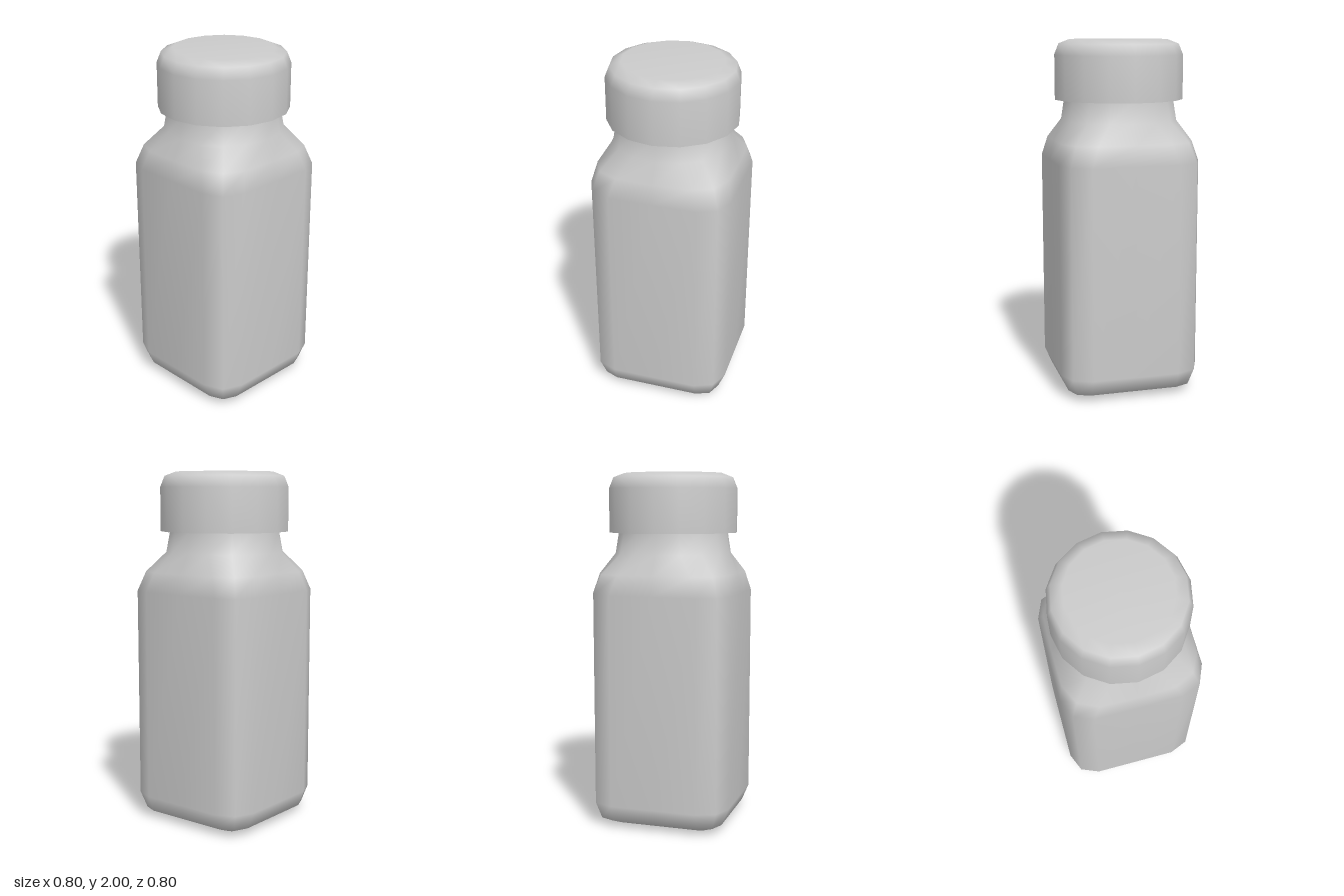
import * as THREE from 'three';

const SIDES = 16;
const material = new THREE.MeshStandardMaterial({ color: 0xcccccc });

// One eighth-turn of the rounded square, mirrored to a full loop and blended toward a circle.
function crossSection(half, corner, roundness) {
  const diagonal = half - 0.293 * corner;
  const quarter = [[half, 0], [half, half - corner], [diagonal, diagonal], [half - corner, half]];
  return Array.from({ length: SIDES }, (_, i) => {
    const [px, pz] = quarter[i % 4];
    const square = new THREE.Vector2(px, pz)
      .rotateAround(new THREE.Vector2(), Math.floor(i / 4) * Math.PI / 2);
    const angle = i / SIDES * Math.PI * 2;
    const circle = new THREE.Vector2(Math.cos(angle), Math.sin(angle)).multiplyScalar(half);
    return square.lerp(circle, roundness);
  });
}

// Skins a stack of cross-sections: [height, half width, corner size, roundness]
function loft(levels) {
  const positions = [], indices = [];
  levels.forEach(([y, half, corner, roundness], j) => {
    crossSection(half, corner, roundness).forEach((p, i) => {
      positions.push(p.x, y, p.y);
      if (j === levels.length - 1) return;
      const a = j * SIDES + i, b = j * SIDES + (i + 1) % SIDES;
      indices.push(a, a + SIDES, b, b, a + SIDES, b + SIDES);
    });
  });
  const geometry = new THREE.BufferGeometry();
  geometry.setAttribute('position', new THREE.Float32BufferAttribute(positions, 3));
  geometry.setIndex(indices);
  geometry.computeVertexNormals();
  return geometry;
}

export function createModel() {
  const group = new THREE.Group();
  const add = (name, geometry) => {
    const mesh = new THREE.Mesh(geometry, material);
    mesh.name = name;
    group.add(mesh);
    return mesh;
  };

  // Square bottle body, closed below, rising through the shoulder to a round neck
  add('bottleBody', loft([
    [0, 0, 0, 0],
    [0, 0.265, 0.03, 0],
    [0.04, 0.36, 0.11, 0],
    [0.135, 0.4, 0.153, 0],
    [1.33, 0.4, 0.153, 0],
    [1.44, 0.378, 0.153, 0.2],
    [1.55, 0.328, 0.14, 0.9],
    [1.67, 0.313, 0.13, 1],
  ]));

  // Screw cap with a bevelled top edge
  const capProfile = [[0.367, 1.667], [0.367, 1.915], [0.342, 1.976], [0.28, 2], [0, 2]];
  add('cap', new THREE.LatheGeometry(capProfile.map(([r, y]) => new THREE.Vector2(r, y)), SIDES));

  // Flat underside of the cap around the neck
  const rim = add('capUnderside', new THREE.RingGeometry(0.3, 0.367, SIDES));
  rim.rotation.x = Math.PI / 2;
  rim.position.y = 1.667;

  return group;
}
